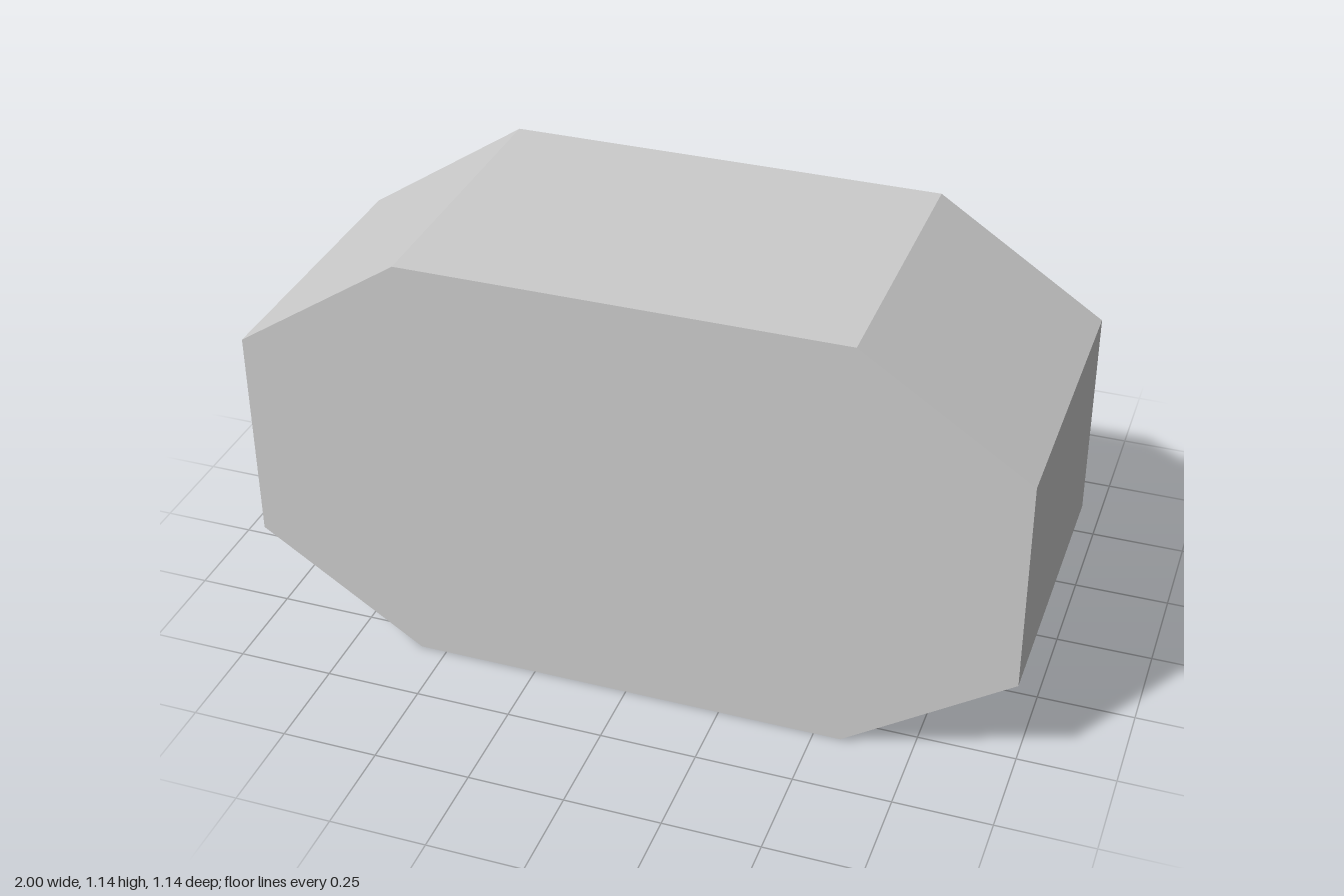
import * as THREE from 'three';

const CENTRE_Y = 0.57;

// Outline symmetric in x and y, given by its quarter points running from the side to the top.
function outline(quarter) {
  const mirrored = [...quarter].reverse().map(([x, y]) => [-x, y]);
  const upper = [...quarter, ...mirrored];
  const lower = upper.map(([x, y]) => [-x, -y]);
  // drop repeated points where the outline touches the x axis
  return [...upper, ...lower].filter(([x, y], i, all) => {
    const [px, py] = all[(i + all.length - 1) % all.length];
    return Math.hypot(x - px, y - py) > 1e-6;
  });
}

// Skins a sequence of [loop, z] sections with flat faces.
function skin(sections) {
  const pos = [];
  const tri = (a, b, c) => {
    const area = b.clone().sub(a).cross(c.clone().sub(a)).length();
    if (area > 1e-8) pos.push(...a, ...b, ...c);
  };
  const rings = sections.map(([loop, z]) => loop.map(([x, y]) => new THREE.Vector3(x, y, z)));
  for (let i = 0; i < rings.length - 1; i++) {
    const p = rings[i], q = rings[i + 1];
    for (let j = 0; j < p.length; j++) {
      const k = (j + 1) % p.length;
      tri(p[j], q[j], q[k]);
      tri(p[j], q[k], p[k]);
    }
  }
  const geo = new THREE.BufferGeometry();
  geo.setAttribute('position', new THREE.Float32BufferAttribute(pos, 3));
  geo.computeVertexNormals();
  return geo;
}

// Cup open towards the back: closed front, outer wall, rim, inner wall, floor.
function cup(name, outer, inner, front, back, floor, material) {
  const centre = outer.map(() => [0, 0]);
  const mesh = new THREE.Mesh(skin([
    [centre, front], [outer, front], [outer, back],
    [inner, back], [inner, floor], [centre, floor],
  ]), material);
  mesh.name = name;
  mesh.position.y = CENTRE_Y;
  return mesh;
}

export function createModel() {
  const group = new THREE.Group();
  group.name = 'model';
  const material = new THREE.MeshStandardMaterial({ color: 0xcccccc, flatShading: true });

  // Eight-sided housing, hollow at the back
  group.add(cup('housing',
    outline([[1, 0.285], [0.57, 0.57]]),
    outline([[0.886, 0.224], [0.536, 0.456]]),
    0.57, -0.215, 0.24, material));

  // Six-sided socket standing on the housing floor
  group.add(cup('socket',
    outline([[0.447, 0], [0.21, 0.37]]),
    outline([[0.357, 0], [0.168, 0.296]]),
    0.26, -0.57, -0.2, material));

  return group;
}
